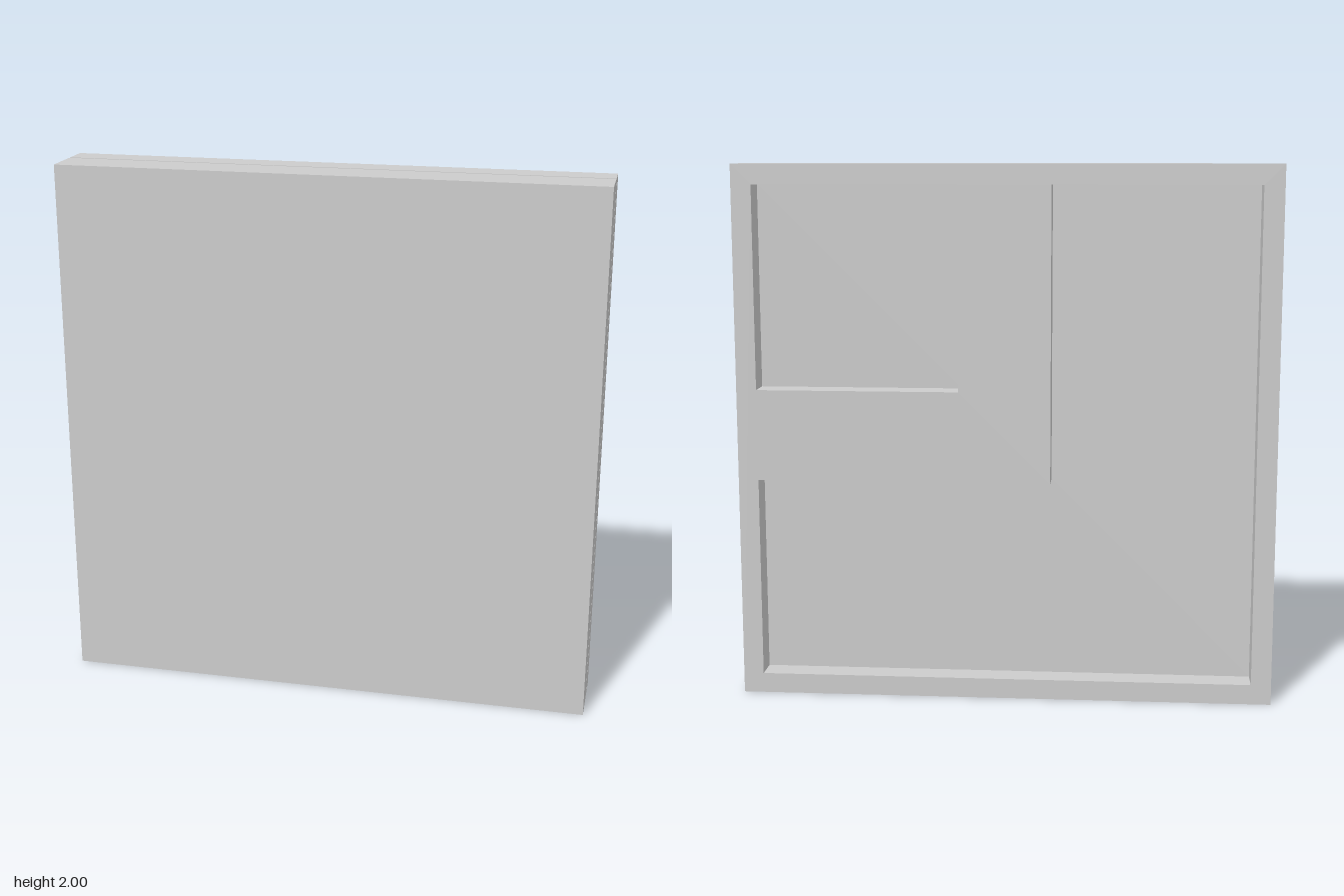
import * as THREE from 'three';

const material = new THREE.MeshStandardMaterial({ color: 0xcccccc, flatShading: true });

// Extrude an outline in the xy plane between two depths
function plate(name, shape, zBack, zFront) {
  const geometry = new THREE.ExtrudeGeometry(shape, { depth: zFront - zBack, bevelEnabled: false });
  geometry.translate(0, 0, zBack);
  const mesh = new THREE.Mesh(geometry, material);
  mesh.name = name;
  return mesh;
}

function outline(points, Type = THREE.Shape) {
  return new Type(points.map(([x, y]) => new THREE.Vector2(x, y)));
}

const rect = (x0, y0, x1, y1) => [[x0, y0], [x1, y0], [x1, y1], [x0, y1]];

export function createModel() {
  const group = new THREE.Group();
  group.name = 'panel';

  const rim = 0.075;        // width of the rear frame
  const inner = 1 - rim;
  const half = 0.17;        // half width of the elbow bars

  // Solid front slab
  group.add(plate('frontSlab', outline(rect(-1, 0, 1, 2)), -0.02, 0.13));

  // Open rear frame, set off from the slab by a narrow gap
  const frame = outline(rect(-1, 0, 1, 2));
  frame.holes.push(outline(rect(-inner, rim, inner, 2 - rim), THREE.Path));
  group.add(plate('rearFrame', frame, -0.13, -0.03));

  // Elbow from the top of the frame to its left side, a hair proud of the rim
  const elbow = outline([
    [-half, 1 - half], [inner, 1 - half], [inner, 1 + half],
    [half, 1 + half], [half, 2 - rim], [-half, 2 - rim],
  ]);
  group.add(plate('rearElbow', elbow, -0.132, -0.03));

  return group;
}
